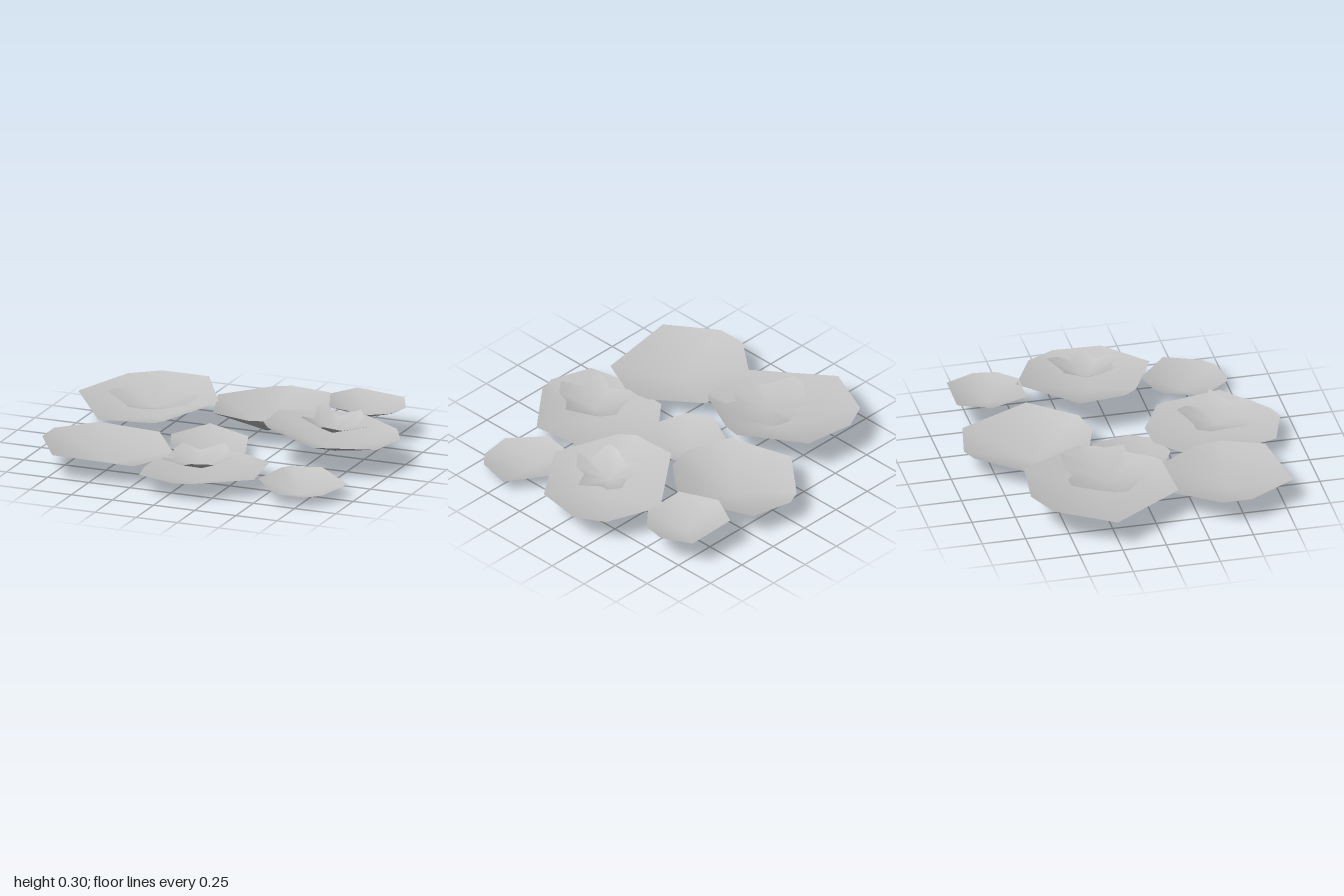
import * as THREE from 'three';

const leafGrey = new THREE.MeshStandardMaterial({ color: 0xc4c4c4, side: THREE.DoubleSide });
leafGrey.name = 'leafGrey';

// Shallow dish: a fan from a low centre to an irregular rim lying on a tilted plane.
// rim = [height above the centre point, slope along x, slope along z];
// curl > 0 drops the rim where it is closer to the centre (notches between petals).
function dish(name, [cx, cy, cz], [height, slopeX, slopeZ], outline, curl = 0) {
  const radii = outline.map(([x, z]) => Math.hypot(x - cx, z - cz));
  const maxRadius = Math.max(...radii);
  const positions = [cx, cy, cz];
  const index = [];
  outline.forEach(([x, z], i) => {
    const plane = height + slopeX * (x - cx) + slopeZ * (z - cz);
    positions.push(x, cy + (plane - cy) * (radii[i] / maxRadius) ** curl, z);
    index.push(0, 1 + (i + 1) % outline.length, 1 + i);
  });
  const geometry = new THREE.BufferGeometry();
  geometry.setAttribute('position', new THREE.Float32BufferAttribute(positions, 3));
  geometry.setIndex(index);
  geometry.computeVertexNormals();
  const mesh = new THREE.Mesh(geometry, leafGrey);
  mesh.name = name;
  return mesh;
}

export function createModel() {
  const model = new THREE.Group();
  model.name = 'waterLilies';

  // Floating pads
  model.add(
    dish('backRightPad', [-0.5, 0.085, -0.27], [0.2, 0.04, -0.06], [
      [-1, -0.28], [-0.84, -0.61], [-0.67, -0.7], [-0.37, -0.67], [-0.16, -0.31],
      [-0.18, -0.21], [-0.33, 0.08], [-0.37, 0.12], [-0.7, 0.14]]),
    dish('backPad', [0.06, 0.015, -0.49], [0.16, 0.02, 0.02], [
      [-0.29, -0.61], [-0.06, -0.88], [0.03, -0.92], [0.28, -0.87],
      [0.46, -0.46], [0.25, -0.21], [0.08, -0.17], [-0.17, -0.25]]),
    dish('frontRightPad', [-0.5, 0.035, 0.46], [0.14, -0.05, 0], [
      [-0.88, 0.35], [-0.7, 0.12], [-0.34, 0.11], [-0.15, 0.38],
      [-0.13, 0.52], [-0.23, 0.75], [-0.7, 0.8], [-0.88, 0.52]]),
    dish('backLeftSmallPad', [0.6, 0.115, -0.65], [0.2, -0.06, 0], [
      [0.36, -0.68], [0.45, -0.86], [0.74, -0.85], [0.82, -0.68],
      [0.8, -0.55], [0.69, -0.45], [0.45, -0.46]]),
    dish('leftPad', [0.65, 0.09, -0.07], [0.207, -0.1, 0.03], [
      [0.25, -0.2], [0.62, -0.48], [0.91, -0.34], [1, -0.18],
      [0.97, 0.09], [0.67, 0.3], [0.33, 0.14], [0.27, 0.06]]),
    dish('frontPad', [0.13, 0.025, 0.53], [0.1, 0, 0.03], [
      [-0.2, 0.32], [-0.01, 0.16], [0.16, 0.15], [0.4, 0.28], [0.46, 0.65],
      [0.18, 0.88], [0.08, 0.91], [-0.16, 0.83], [-0.2, 0.66]]),
    dish('middleSmallPad', [-0.09, 0.003, 0], [0.08, -0.08, -0.06], [
      [-0.31, 0.02], [-0.18, -0.24], [0.08, -0.17], [0.16, 0.06],
      [0.09, 0.21], [-0.09, 0.24], [-0.25, 0.17]]),
    dish('frontLeftSmallPad', [0.67, 0, 0.5], [0.08, -0.03, -0.07], [
      [0.45, 0.56], [0.5, 0.35], [0.55, 0.3], [0.71, 0.26],
      [0.94, 0.44], [0.88, 0.65], [0.8, 0.72], [0.62, 0.74]]),
  );

  // Star-shaped blossoms
  model.add(
    dish('rightBlossom', [-0.51, 0.165, -0.21], [0.262, 0, -0.03], [
      [-0.69, -0.47], [-0.59, -0.47], [-0.49, -0.42], [-0.42, -0.46], [-0.31, -0.45], [-0.32, -0.36],
      [-0.26, -0.25], [-0.26, -0.07], [-0.4, -0.07], [-0.44, -0.01], [-0.5, 0.03], [-0.58, 0.02],
      [-0.62, -0.07], [-0.77, -0.16], [-0.76, -0.24], [-0.69, -0.33]], 1.4),
    dish('leftBlossom', [0.63, 0.19, -0.08], [0.298, -0.19, 0], [
      [0.49, -0.2], [0.56, -0.22], [0.62, -0.21], [0.72, -0.28], [0.77, -0.21], [0.75, -0.14],
      [0.85, -0.06], [0.73, 0.01], [0.73, 0.07], [0.66, 0.13], [0.62, 0.07], [0.49, 0.05],
      [0.48, -0.01], [0.51, -0.1]], 1.2),
    dish('frontBlossom', [0.1, 0.1, 0.55], [0.195, 0.08, 0], [
      [0.15, 0.33], [0.21, 0.4], [0.21, 0.49], [0.32, 0.56], [0.22, 0.65], [0.21, 0.72],
      [0.13, 0.78], [0.05, 0.7], [-0.07, 0.7], [-0.09, 0.67], [-0.05, 0.58], [-0.1, 0.47],
      [-0.08, 0.39], [0.03, 0.4]], 1.3),
  );
  return model;
}
